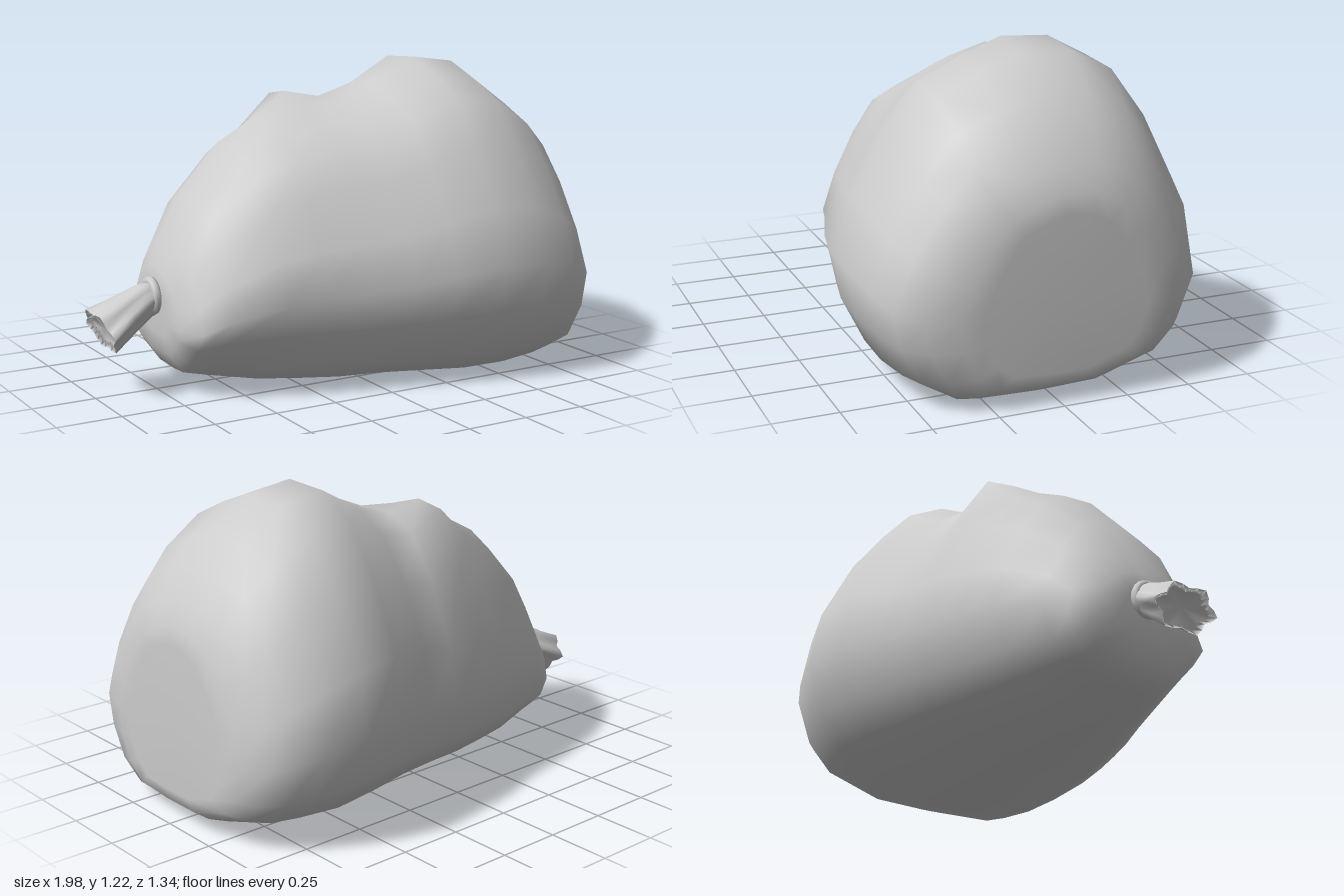
import * as THREE from 'three';

const material = new THREE.MeshStandardMaterial({ color: 0xcccccc });

// Skins a list of equal-length rings (counter-clockwise seen from the last ring) and caps both ends
function loft(rings, name) {
  const n = rings[0].length;
  const points = rings.flat();
  const index = [];
  for (let r = 0; r < rings.length - 1; r++) {
    for (let i = 0; i < n; i++) {
      const j = (i + 1) % n;
      const a = r * n + i, b = r * n + j, c = a + n, d = b + n;
      index.push(a, b, c, b, d, c);
    }
  }
  [0, rings.length - 1].forEach((r, end) => {
    const centre = new THREE.Vector3();
    rings[r].forEach((p) => centre.addScaledVector(p, 1 / n));
    points.push(centre);
    for (let i = 0; i < n; i++) {
      const a = r * n + i, b = r * n + ((i + 1) % n);
      if (end) index.push(points.length - 1, a, b);
      else index.push(points.length - 1, b, a);
    }
  });
  const geometry = new THREE.BufferGeometry().setFromPoints(points);
  geometry.setIndex(index);
  geometry.computeVertexNormals();
  const mesh = new THREE.Mesh(geometry, material);
  mesh.name = name;
  return mesh;
}

// Fullest cross-section of the sack: [z, y, share of the fold's height]
const section = [
  [0.67, 0.47, 0], [0.64, 0.29, 0], [0.55, 0.11, 0], [0.4, 0.01, 0], [0.1, 0, 0], [-0.2, 0.01, 0],
  [-0.5, 0.12, 0], [-0.6, 0.24, 0], [-0.67, 0.45, 0], [-0.63, 0.68, 0], [-0.5, 0.94, 0.5], [-0.36, 1.13, 1],
  [-0.2, 1.21, 0.6], [0, 1.22, 0.15], [0.16, 1.16, 0], [0.33, 1.08, 0], [0.46, 0.91, 0], [0.59, 0.68, 0],
];

// Stations along the sack: [x, bottom, top, back half width, front half width, fold height, front underside rounding]
const stations = [
  [-0.745, 0.22, 0.40, 0.13, 0.11, 0, 0.1],
  [-0.74, 0.15, 0.47, 0.23, 0.2, 0, 0.2],
  [-0.69, 0.08, 0.56, 0.32, 0.29, 0, 0.35],
  [-0.6, 0.06, 0.73, 0.36, 0.36, 0, 0.4],
  [-0.41, 0.025, 0.92, 0.44, 0.44, 0, 0.35],
  [-0.26, 0.015, 0.98, 0.48, 0.48, 0.03, 0.25],
  [-0.1, 0.01, 1.03, 0.52, 0.53, 0.12, 0.15],
  [0.06, 0.015, 1.06, 0.55, 0.58, 0.02, 0.08],
  [0.22, 0.01, 1.13, 0.58, 0.62, -0.02, 0.03],
  [0.41, 0, 1.22, 0.635, 0.66, 0, 0],
  [0.6, 0, 1.195, 0.67, 0.665, 0, 0],
  [0.76, 0.01, 1.08, 0.63, 0.635, 0, 0],
  [0.86, 0.02, 0.97, 0.585, 0.59, 0, 0],
  [0.93, 0.045, 0.86, 0.52, 0.5, 0, 0],
  [0.97, 0.075, 0.77, 0.42, 0.38, 0, 0],
  [0.979, 0.12, 0.7, 0.33, 0.3, 0, 0],
];

function sackRing([x, bottom, top, back, front, fold, rounding]) {
  return section.map(([z, y, share]) => {
    const width = z < 0 ? back : front * (1 - rounding * Math.max(0, 1 - y / 0.47));
    const tilt = x > 0.95 ? -0.015 * z : 0;
    return new THREE.Vector3(x + tilt, bottom + (y / 1.22) * (top - bottom) + fold * share, (z / 0.67) * width);
  });
}

// Pleated ring of the gathered cloth, square to the drooping neck
function neckRing([x, y, z, height, width, pleat]) {
  const up = new THREE.Vector3(-0.38, 0.925, 0);
  return Array.from({ length: 24 }, (_, i) => {
    const angle = (i / 24) * Math.PI * 2;
    const r = 1 - pleat * (0.5 - 0.5 * Math.cos(angle * 6));
    return new THREE.Vector3(x, y, z + Math.cos(angle) * width * r)
      .addScaledVector(up, -Math.sin(angle) * height * r);
  });
}

export function createModel() {
  const group = new THREE.Group();
  group.name = 'tiedSack';

  group.add(loft(stations.map(sackRing), 'sackBody'));

  // Flared gathered end, from its slightly hollow mouth to inside the body
  group.add(loft([
    [-0.945, 0.258, -0.02, 0.075, 0.115, 0.25],
    [-0.965, 0.25, -0.02, 0.092, 0.142, 0.25],
    [-0.87, 0.302, -0.018, 0.076, 0.105, 0.2],
    [-0.785, 0.35, -0.015, 0.066, 0.07, 0.1],
    [-0.72, 0.37, -0.015, 0.06, 0.06, 0],
  ].map(neckRing), 'gatheredNeck'));

  // Cord tied around the neck
  const cord = new THREE.Mesh(new THREE.TorusGeometry(0.058, 0.018, 8, 20), material);
  cord.name = 'tieCord';
  cord.rotation.y = Math.PI / 2;
  cord.position.set(-0.76, 0.362, -0.015);
  group.add(cord);

  return group;
}
